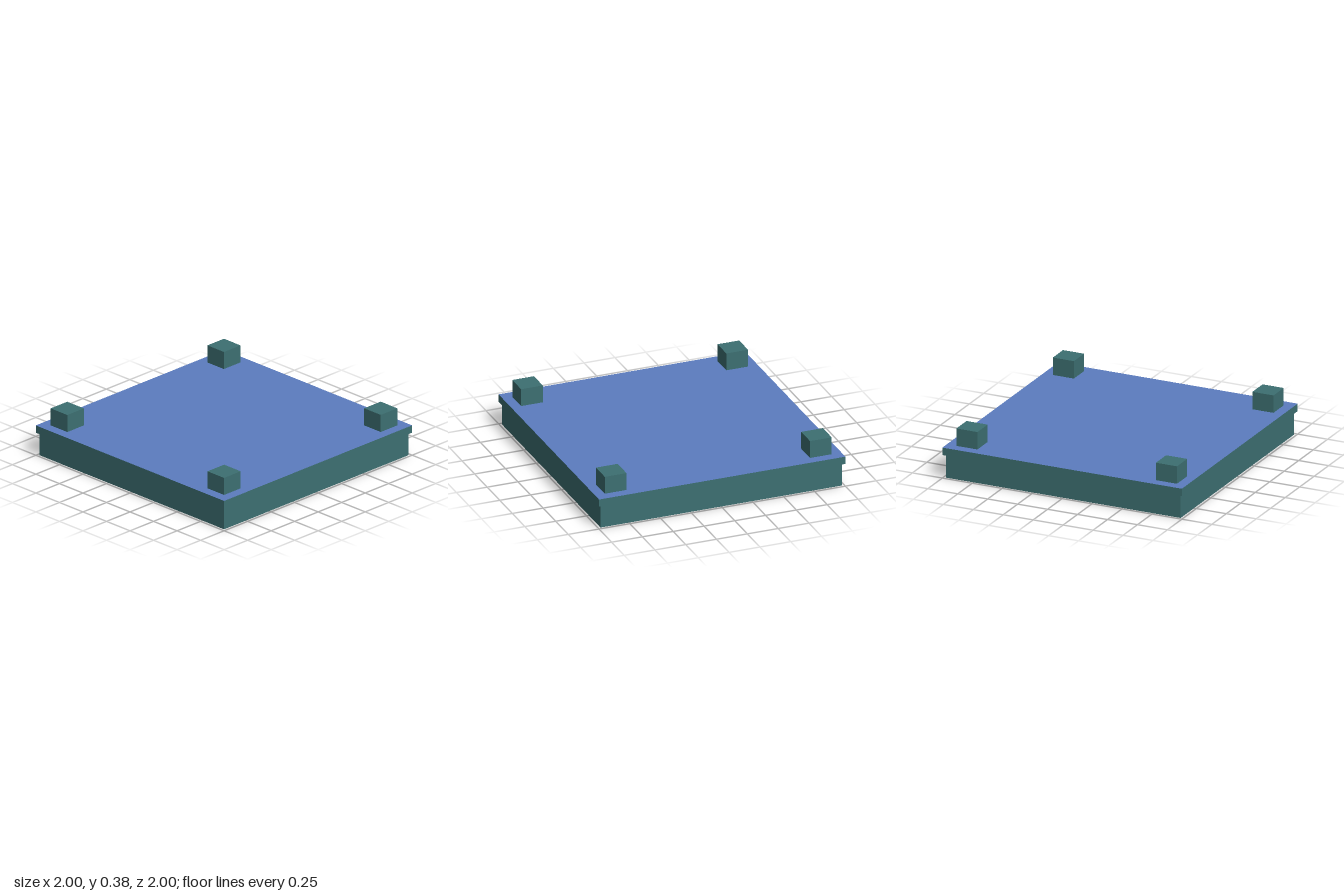
import * as THREE from 'three';

export function createModel() {
  const model = new THREE.Group();
  model.name = 'cornerPostPlatform';

  const teal = new THREE.MeshStandardMaterial({ color: 0x3d7072 });
  teal.name = 'teal';
  const blue = new THREE.MeshStandardMaterial({ color: 0x5c7dc0 });
  blue.name = 'blue';

  // Square block standing on y = bottom
  const addBlock = (name, size, bottom, top, material, x = 0, z = 0) => {
    const mesh = new THREE.Mesh(new THREE.BoxGeometry(size, top - bottom, size), material);
    mesh.name = name;
    mesh.position.set(x, (bottom + top) / 2, z);
    model.add(mesh);
  };

  // Plinth
  addBlock('base', 1.96, 0, 0.185, teal);

  // Overhanging slab with a blue upper face
  addBlock('topSlab', 2, 0.185, 0.245, [teal, teal, blue, teal, teal, teal]);

  // Corner posts
  for (const [side, x] of [['left', 1], ['right', -1]]) {
    for (const [end, z] of [['Front', 1], ['Back', -1]]) {
      addBlock(`${side}${end}Post`, 0.176, 0.245, 0.385, teal, x * 0.833, z * 0.833);
    }
  }

  return model;
}
